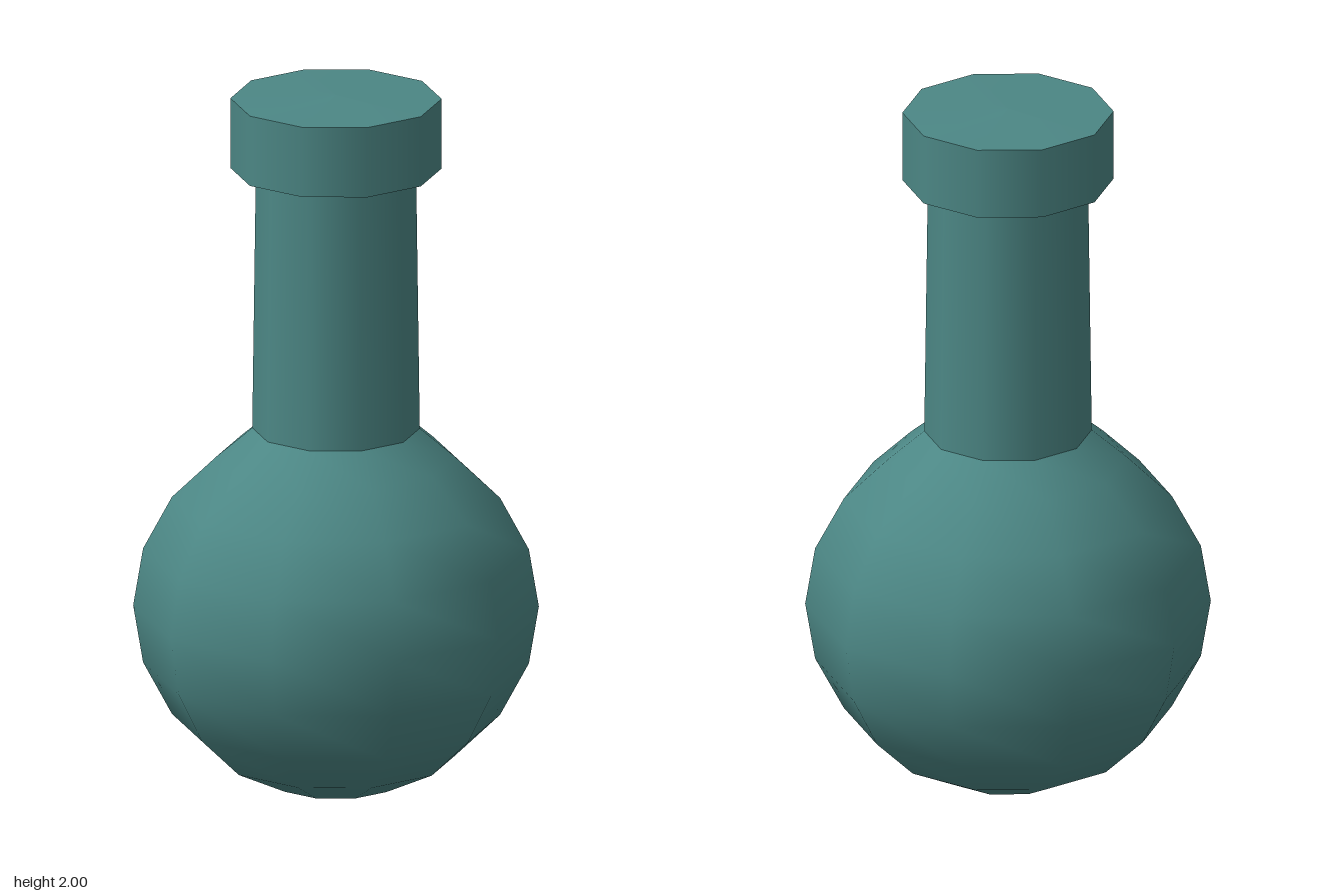
import * as THREE from 'three';

const SIDES = 10;
const material = new THREE.MeshStandardMaterial({ color: 0x4c8785 });

// Ten-sided turned surface; profile runs bottom to top as [radius, y], corners on the x axis
function turned(name, profile) {
  const points = profile.map(([r, y]) => new THREE.Vector2(r, y));
  const geometry = new THREE.LatheGeometry(points, SIDES).rotateY(Math.PI / 2);
  const mesh = new THREE.Mesh(geometry, material);
  mesh.name = name;
  return mesh;
}

export function createModel() {
  const group = new THREE.Group();
  group.name = 'flask';

  // Round bulb: rings of a sphere every 18 degrees, cut off at the neck
  const radius = 0.557, centerY = 0.535;
  const bulb = [];
  for (let i = 1; i <= 8; i++) {
    const a = (i * Math.PI) / 10;
    bulb.push([radius * Math.sin(a), centerY - radius * Math.cos(a) * 0.95]);
  }
  bulb.push([0.23, 1.045]);

  // Separate strips keep the rims sharp while the sides stay smooth
  group.add(
    turned('bulbBase', [[0, 0], bulb[0]]),
    turned('bulb', bulb),
    turned('neck', [[0.23, 1.045], [0.22, 1.79]])
  );

  // Stopper with slightly domed top and underside
  const stopper = new THREE.Group();
  stopper.name = 'stopper';
  stopper.add(
    turned('stopperUnderside', [[0, 1.775], [0.21, 1.777], [0.29, 1.79]]),
    turned('stopperSide', [[0.29, 1.79], [0.29, 1.99]]),
    turned('stopperTop', [[0.29, 1.99], [0, 2]])
  );
  group.add(stopper);
  return group;
}
